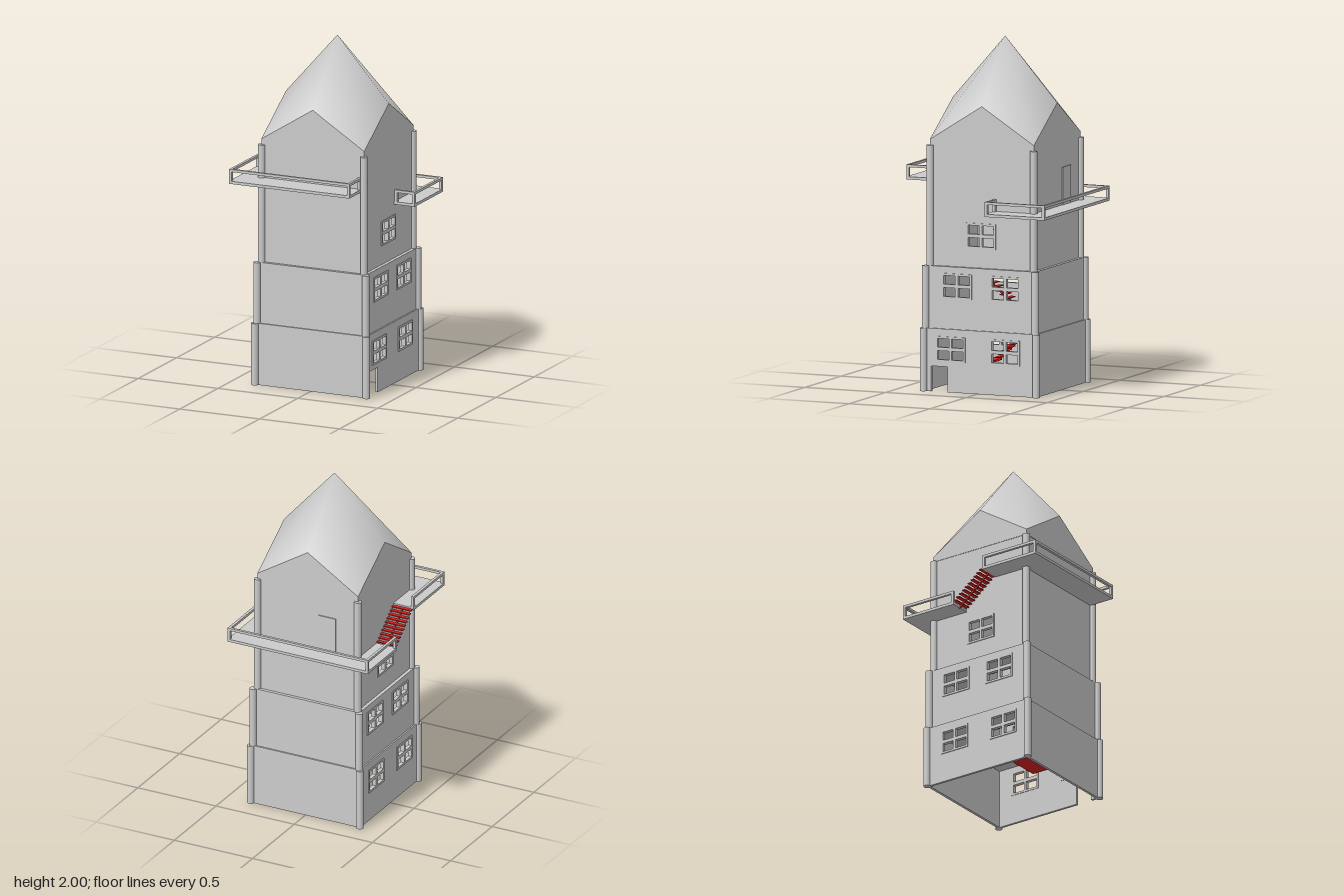
import * as THREE from 'three';

const grey = new THREE.MeshStandardMaterial({ color: 0xcccccc, side: THREE.DoubleSide });
const red = new THREE.MeshStandardMaterial({ color: 0xdd2222, side: THREE.DoubleSide });
const CZ = -0.016; // tower axis in z
const T = 0.015; // wall thickness

function add(parent, name, geometry, material = grey) {
  const mesh = new THREE.Mesh(geometry, material);
  mesh.name = name;
  parent.add(mesh);
  return mesh;
}

// Box given by its minimum and maximum corners
function box(parent, name, x0, x1, y0, y1, z0, z1, material) {
  const g = new THREE.BoxGeometry(x1 - x0, y1 - y0, z1 - z0);
  g.translate((x0 + x1) / 2, (y0 + y1) / 2, (z0 + z1) / 2);
  return add(parent, name, g, material);
}

function polygon(points, Type = THREE.Shape) {
  return new Type(points.map(([a, b]) => new THREE.Vector2(a, b)));
}

function rect(a, b, halfW, halfH, Type) {
  return polygon([[a - halfW, b - halfH], [a + halfW, b - halfH], [a + halfW, b + halfH], [a - halfW, b + halfH]], Type);
}

// Extrude a (z, y) outline so its outer face lies at x = outer and it runs towards -x
function sidePanel(shape, outer, depth) {
  const g = new THREE.ExtrudeGeometry(shape, { depth, bevelEnabled: false });
  return g.rotateY(-Math.PI / 2).translate(outer, 0, 0);
}

// Extrude an (x, z) outline upwards from y
function slab(points, y, height, hole) {
  const shape = polygon(points.map(([x, z]) => [x, -z]));
  if (hole) shape.holes.push(hole);
  return new THREE.ExtrudeGeometry(shape, { depth: height, bevelEnabled: false }).rotateX(-Math.PI / 2).translate(0, y, 0);
}

// Four panes of a window centred at (z, y)
function panes(z, y) {
  const list = [];
  for (const dz of [-0.044, 0.044]) for (const dy of [-0.035, 0.035]) list.push(rect(z + dz, y + dy, 0.036, 0.025, THREE.Path));
  return list;
}

// One storey: four walls, windows on both sides, corner columns
function buildTier(root, { name, y0, y1, h, windows, door }) {
  const tier = new THREE.Group();
  tier.name = name;
  root.add(tier);
  const zb = CZ - h, zf = CZ + h;
  box(tier, 'frontWall', -h, h, y0, y1, zf - T, zf);
  box(tier, 'backWall', -h, h, y0, y1, zb, zb + T);
  for (const side of [1, -1]) {
    const outline = [[zb, y0]];
    if (door && side > 0) outline.push([0.185, y0], [0.185, 0.145], [0.285, 0.145], [0.285, y0]);
    outline.push([zf, y0], [zf, y1], [zb, y1]);
    const wall = polygon(outline);
    for (const [z, y] of windows) {
      wall.holes.push(rect(z, y, 0.085, 0.065, THREE.Path));
      const frame = rect(z, y, 0.092, 0.072);
      frame.holes.push(...panes(z, y));
      add(tier, 'windowFrame', sidePanel(frame, side > 0 ? h + 0.005 : -h + 0.018, 0.023));
    }
    add(tier, 'sideWall', sidePanel(wall, side > 0 ? h : -h + T, T));
    for (const z of [zb, zf]) {
      const column = add(tier, 'cornerColumn', new THREE.CylinderGeometry(0.021, 0.021, y1 - y0, 24));
      column.position.set(side * h, (y0 + y1) / 2, z);
    }
  }
}

// Open stair rising along +z or -z: thin treads on one central stringer
function buildStair(root, name, x0, x1, yA, yB, zA, zB, steps) {
  const stair = new THREE.Group();
  stair.name = name;
  root.add(stair);
  const dz = (zB - zA) / steps, dy = (yB - yA) / steps;
  for (let i = 0; i < steps; i++) {
    const a = zA + i * dz, b = a + dz * 1.15, y = yA + (i + 1) * dy;
    box(stair, 'tread', x0, x1, y - 0.006, y, Math.min(a, b), Math.max(a, b), red);
  }
  const beam = polygon([[zA, yA], [zB, yB], [zB, yB - 0.014], [zA, yA - 0.014]]);
  add(stair, 'stringer', sidePanel(beam, (x0 + x1) / 2 + 0.004, 0.008), red);
}

// Balcony deck with corner posts and a top rail along the listed path
function buildBalcony(root, name, deck, rail, y) {
  const balcony = new THREE.Group();
  balcony.name = name;
  root.add(balcony);
  add(balcony, 'deck', slab(deck, y, 0.016));
  const r = 0.008;
  rail.forEach(([x, z], i) => {
    box(balcony, 'post', x - r, x + r, y + 0.01, y + 0.08, z - r, z + r);
    if (!i) return;
    const [px, pz] = rail[i - 1];
    box(balcony, 'handrail', Math.min(x, px) - r, Math.max(x, px) + r, y + 0.07, y + 0.085, Math.min(z, pz) - r, Math.max(z, pz) + r);
  });
}

// Smooth helm roof with four gables below it
function buildRoof(root, h, yWall, yEave, yPeak, yApex) {
  const roof = new THREE.Group();
  roof.name = 'roof';
  root.add(roof);
  const pos = [0, yApex, 0], index = [];
  for (let i = 0; i < 8; i++) {
    const a = (i * Math.PI) / 4, corner = i % 2, r = corner ? h * Math.SQRT2 : h;
    pos.push(Math.sin(a) * r, corner ? yEave : yPeak, Math.cos(a) * r);
    index.push(0, i + 1, ((i + 1) % 8) + 1);
  }
  const g = new THREE.BufferGeometry();
  g.setAttribute('position', new THREE.Float32BufferAttribute(pos, 3));
  g.setIndex(index);
  g.computeVertexNormals();
  add(roof, 'roofCovering', g);
  const gable = polygon([[-h, yWall], [h, yWall], [h, yEave], [0, yPeak], [-h, yEave]]);
  for (let i = 0; i < 4; i++) {
    add(roof, 'gable', new THREE.ShapeGeometry(gable).translate(0, 0, h).rotateY((i * Math.PI) / 2));
  }
  roof.position.z = CZ;
}

export function createModel() {
  const root = new THREE.Group();
  root.name = 'tower';

  // Three storeys, each narrower than the one below
  const tiers = [
    { name: 'lowerStorey', y0: 0, y1: 0.36, h: 0.349, windows: [[0.165, 0.245], [-0.172, 0.245]], door: true },
    { name: 'middleStorey', y0: 0.36, y1: 0.715, h: 0.34, windows: [[0.13, 0.605], [-0.17, 0.605]] },
    { name: 'upperStorey', y0: 0.715, y1: 1.4, h: 0.32, windows: [[-0.011, 0.897]] },
  ];
  tiers.forEach((t) => buildTier(root, t));

  // Floors with a stairwell, closing the ledges
  for (const { y1, h } of tiers.slice(0, 2)) {
    const f = [[-h, CZ - h], [h, CZ - h], [h, CZ + h], [-h, CZ + h]];
    add(root, 'floor', slab(f, y1 - 0.012, 0.012, rect(0, 0, 0.13, 0.17, THREE.Path)));
  }
  buildRoof(root, 0.322, 1.4, 1.432, 1.636, 2);

  // Door on the back, opening to the lower balcony
  box(root, 'backDoor', -0.18, -0.07, 1.045, 1.26, -0.342, -0.33);

  // Balcony round the back, and a higher one round the front
  buildBalcony(root, 'backBalcony',
    [[-0.45, -0.46], [0.448, -0.46], [0.448, -0.09], [0.315, -0.09], [0.315, -0.33], [-0.315, -0.33], [-0.315, -0.11], [-0.45, -0.11]],
    [[-0.442, -0.118], [-0.442, -0.452], [0.44, -0.452], [0.44, -0.098], [0.33, -0.098]], 1.028);
  buildBalcony(root, 'frontBalcony',
    [[-0.45, 0.09], [-0.315, 0.09], [-0.315, 0.295], [0.303, 0.295], [0.303, 0.46], [-0.45, 0.46]],
    [[-0.442, 0.098], [-0.442, 0.452], [0.295, 0.452], [0.295, 0.31]], 1.192);

  // Stairs outside between the balconies, and inside between the floors
  buildStair(root, 'outerStair', -0.445, -0.322, 1.04, 1.2, -0.115, 0.085, 10);
  box(root, 'landing', -0.1, 0.1, 0.135, 0.145, 0.05, 0.19, red);
  buildStair(root, 'lowerStair', -0.1, 0, 0.145, 0.3, 0.05, -0.11, 8);
  buildStair(root, 'middleStair', 0, 0.1, 0.5, 0.66, -0.08, 0.12, 8);
  buildStair(root, 'upperStair', -0.1, 0, 0.8, 0.95, -0.05, 0.12, 8);
  return root;
}
